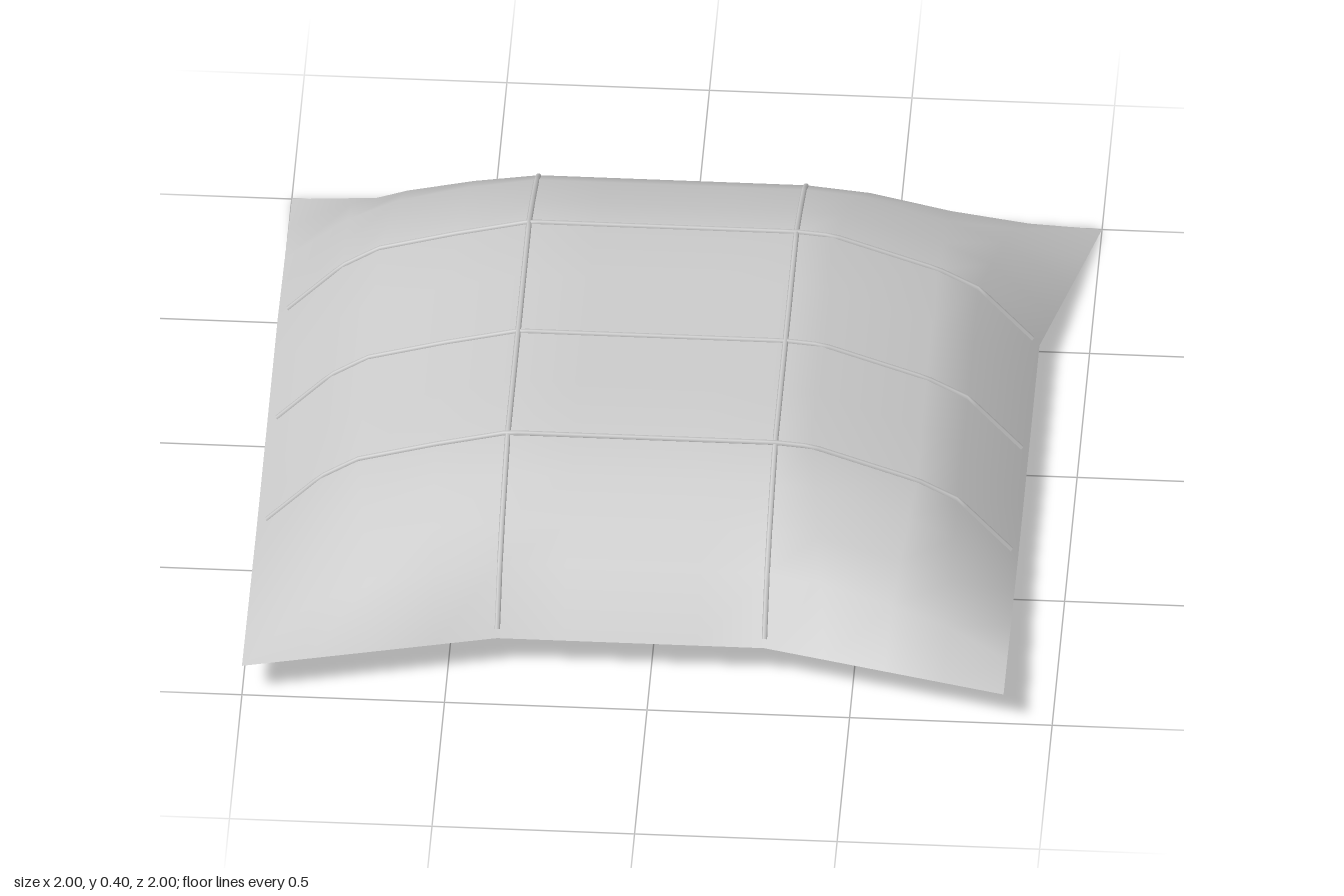
import * as THREE from 'three';

// Arm profiles [offset, height], from the flat top down to the hem
const LEFT = [[0.28, 0.39], [0.37, 0.382], [0.63, 0.29], [0.73, 0.235], [0.88, 0.065]];
const RIGHT = [[-0.38, 0.39], [-0.56, 0.345], [-0.75, 0.29], [-0.84, 0.232], [-1, 0.065]];
const FRONT = [[0.41, 0.39], [0.52, 0.345], [0.64, 0.29], [0.73, 0.23], [0.85, 0.09]];
const BACK = [[-0.44, 0.39], [-0.58, 0.348], [-0.74, 0.29], [-0.83, 0.235], [-1, 0.04]];
const STEPS = 4;

const lerp = THREE.MathUtils.lerp;

function sample(profile, t) {
  const s = t * STEPS, i = Math.min(STEPS - 1, Math.floor(s));
  return [0, 1].map(k => lerp(profile[i][k], profile[i + 1][k], s - i));
}

// Hem corner shared by two neighbouring arms
function hemCorner(px, pz) {
  if (pz === FRONT) return new THREE.Vector3(px === LEFT ? 0.88 : -1, 0.09, 1);
  return new THREE.Vector3(px === LEFT ? 1 : -1, 0, -1);
}

// Sheet point: a and b run 0..1 over one arm, 1..2 over the flat top, 2..3 over the other arm
function sheetPoint(a, b) {
  const px = a < 1 ? RIGHT : a > 2 ? LEFT : null;
  const pz = b < 1 ? BACK : b > 2 ? FRONT : null;
  const u = a < 1 ? 1 - a : Math.max(0, a - 2);
  const v = b < 1 ? 1 - b : Math.max(0, b - 2);
  const x = px ? sample(px, u) : [lerp(-0.38, 0.28, a - 1), 0.39];
  const z = pz ? sample(pz, v) : [lerp(-0.44, 0.41, b - 1), 0.39];
  if (!px || !pz) return new THREE.Vector3(x[0], Math.min(x[1], z[1]), z[0]);

  // Corner gusset: a blended patch between the two arms and the straight hems
  const at = (s, t) => new THREE.Vector3(sample(px, s)[0], Math.min(sample(px, s)[1], sample(pz, t)[1]), sample(pz, t)[0]);
  const c00 = at(0, 0), c10 = at(1, 0), c01 = at(0, 1), c11 = hemCorner(px, pz);
  const mix = (p, q, t) => p.clone().lerp(q, t);
  const acrossZ = mix(at(u, 0), mix(c01, c11, u), v);
  const acrossX = mix(at(0, v), mix(c10, c11, v), u);
  const bilinear = mix(mix(c00, c10, u), mix(c01, c11, u), v);
  const p = acrossZ.add(acrossX).sub(bilinear);
  p.y += 0.4 * u * (1 - u) * v * (1 - v);
  return p;
}

function sheetGeometry() {
  const n = STEPS * 3, pos = [], index = [];
  for (let j = 0; j <= n; j++) {
    for (let i = 0; i <= n; i++) pos.push(...sheetPoint(i / STEPS, j / STEPS).toArray());
  }
  for (let j = 0; j < n; j++) {
    for (let i = 0; i < n; i++) {
      const a = j * (n + 1) + i, b = a + n + 1;
      index.push(a, b, a + 1, a + 1, b, b + 1);
    }
  }
  const g = new THREE.BufferGeometry();
  g.setAttribute('position', new THREE.Float32BufferAttribute(pos, 3));
  g.setIndex(index);
  g.computeVertexNormals();
  return g;
}

// Bent rod following the sheet along one grid line
function rodGeometry(pointAt) {
  const path = new THREE.CurvePath();
  const n = STEPS * 3;
  const ts = Array.from({ length: n + 1 }, (_, i) => THREE.MathUtils.clamp(i / STEPS, 0.04, 2.97));
  for (let i = 0; i < n; i++) path.add(new THREE.LineCurve3(pointAt(ts[i]), pointAt(ts[i + 1])));
  return new THREE.TubeGeometry(path, 60, 0.007, 6, false);
}

export function createModel() {
  const group = new THREE.Group();
  const material = new THREE.MeshStandardMaterial({ color: 0xcccccc, side: THREE.DoubleSide });
  const add = (name, geometry) => {
    const mesh = new THREE.Mesh(geometry, material);
    mesh.name = name;
    group.add(mesh);
  };

  // Stretched canopy
  add('canopySheet', sheetGeometry());

  // Two rods running front to back
  [1, 2].forEach(a => add('lengthwiseRod', rodGeometry(t => sheetPoint(a, t))));

  // Three rods running side to side, the middle one at z = 0
  [1, 1 + 0.44 / 0.85, 2].forEach(b => add('crosswiseRod', rodGeometry(t => sheetPoint(t, b))));

  return group;
}
